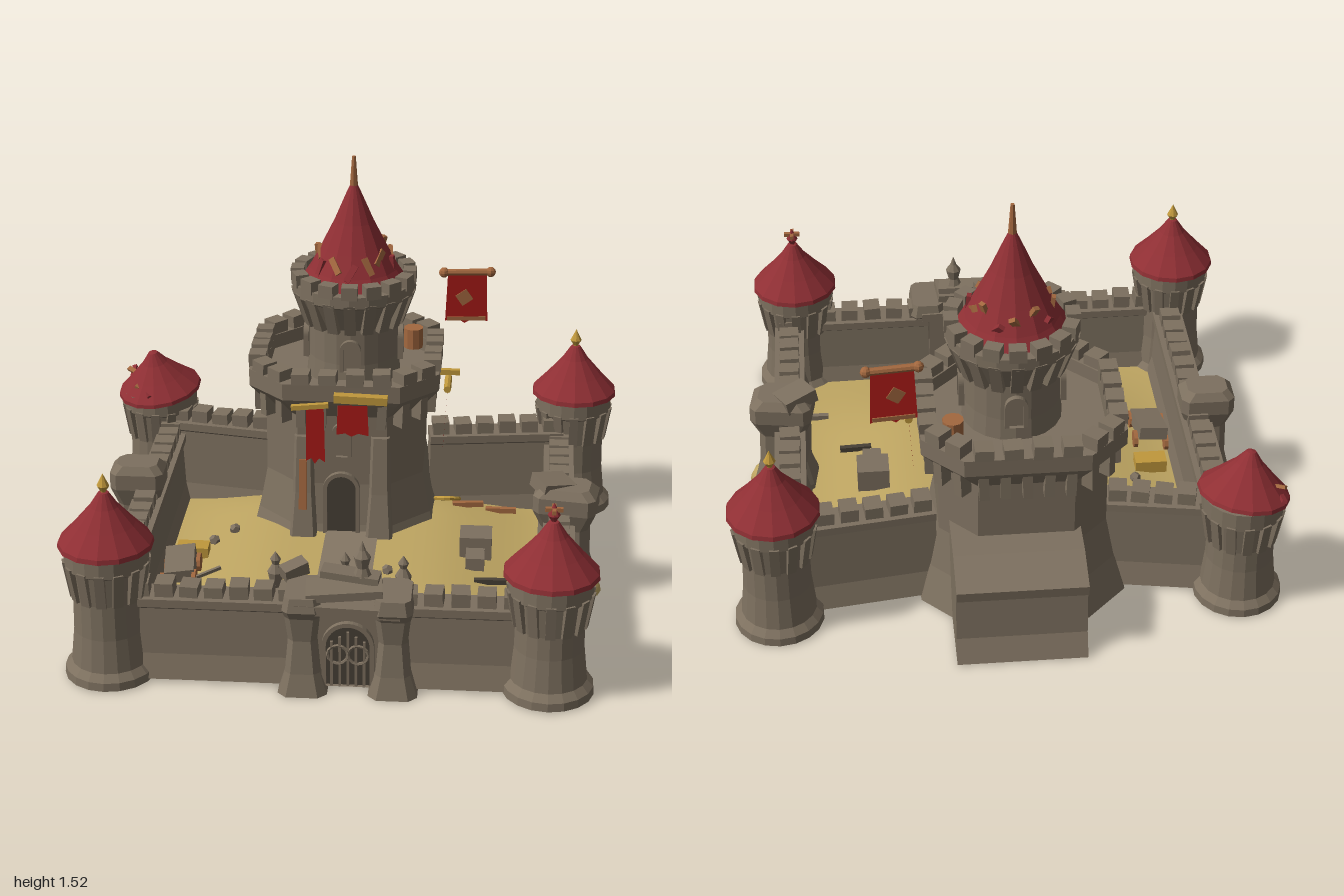
import * as THREE from 'three';
import { mergeGeometries } from 'three/addons/utils/BufferGeometryUtils.js';

const mat = (name, color, side = THREE.FrontSide, flatShading = true) => {
  const m = new THREE.MeshStandardMaterial({ color, flatShading, side });
  m.name = name;
  return m;
};

export function createModel() {
  const root = new THREE.Group();
  const stone = mat('stone', 0x7d705f), pale = mat('path stone', 0x857765, THREE.FrontSide, false);
  const dark = mat('dark opening', 0x484036), roof = mat('roof red', 0x8f2f34);
  const cloth = mat('banner red', 0xb01c18, THREE.DoubleSide), sand = mat('sand', 0xbfa662, THREE.FrontSide, false);
  const gold = mat('gold', 0xc0983c), wood = mat('wood', 0xa3683f);

  let seed = 7;
  const rnd = () => ((seed = (seed * 16807) % 2147483647) / 2147483647) - 0.5;
  const add = (name, geo, m, x = 0, y = 0, z = 0, rx = 0, ry = 0, rz = 0, parent = root) => {
    const o = new THREE.Mesh(geo, m);
    o.name = name;
    o.position.set(x, y, z);
    o.rotation.set(rx, ry, rz);
    parent.add(o);
    return o;
  };
  const box = (w, h, d) => new THREE.BoxGeometry(w, h, d);
  const lathe = (pts, n = 14) => new THREE.LatheGeometry(pts.map(p => new THREE.Vector2(...p)), n);
  const shape = pts => new THREE.Shape(pts.map(p => new THREE.Vector2(...p)));
  const extrude = (s, depth) => new THREE.ExtrudeGeometry(s, { depth, bevelEnabled: false, curveSegments: 8 });

  // Chamfered rectangle cross-section at height y
  const oct = (cx, cz, hx, hz, c, y) => [
    [hx, c - hz], [hx, hz - c], [hx - c, hz], [c - hx, hz],
    [-hx, hz - c], [-hx, c - hz], [c - hx, -hz], [hx - c, -hz]].map(([x, z]) => [cx + x, y, cz + z]);
  // Skin through a stack of cross-sections, closed at both ends
  const loft = rings => {
    const n = rings[0].length, pos = rings.flat(2), idx = [];
    for (const r of [rings[0], rings.at(-1)])
      pos.push(...[0, 1, 2].map(k => r.reduce((s, p) => s + p[k], 0) / n));
    const bottom = rings.length * n, last = bottom - n;
    for (let i = 0; i < n; i++) {
      const j = (i + 1) % n;
      for (let r = 0; r < last; r += n) idx.push(r + i, r + n + i, r + j, r + j, r + n + i, r + n + j);
      idx.push(bottom, i, j, bottom + 1, last + j, last + i);
    }
    const g = new THREE.BufferGeometry();
    g.setAttribute('position', new THREE.Float32BufferAttribute(pos, 3));
    g.setIndex(idx);
    g.computeVertexNormals();
    return g;
  };
  // Slightly uneven merlons along a line
  const merlonRow = (x1, z1, x2, z2, y, step, w, h, d) => {
    const len = Math.hypot(x2 - x1, z2 - z1), n = Math.max(1, Math.round(len / step)), out = [];
    for (let i = 0; i < n; i++) {
      const t = (i + 0.5) / n;
      out.push(box(w, h + rnd() * 0.02, d).rotateZ(rnd() * 0.12)
        .rotateY(-Math.atan2(z2 - z1, x2 - x1) + rnd() * 0.12)
        .translate(x1 + (x2 - x1) * t, y + h / 2 - 0.004, z1 + (z2 - z1) * t));
    }
    return out;
  };
  // Ring of blocks whose feet lean inwards by lean
  const ring = (n, r, y, w, h, d, lean = 0) => mergeGeometries(Array.from({ length: n }, (_, i) => {
    const g = box(w, h, d), p = g.attributes.position;
    for (let k = 0; k < p.count; k++) if (p.getY(k) < 0) p.setZ(k, p.getZ(k) - lean);
    return g.translate(0, y, r).rotateY((i / n) * Math.PI * 2);
  }));

  // Courtyard on a flat slab, rising gently from the walls to the middle
  const ease = t => THREE.MathUtils.smoothstep(t, 0, 1);
  const groundY = (x, z) => 0.036 + 0.075 * ease((0.76 - Math.abs(x)) / 0.5) * ease((0.78 - z) / 0.5) * ease((z + 0.75) / 0.4);
  const sheet = (w, d, cx, cz, n, lift, widthAt = () => 1) => {
    const g = new THREE.PlaneGeometry(w, d, n, n).rotateX(-Math.PI / 2), p = g.attributes.position;
    for (let i = 0; i < p.count; i++) {
      const z = p.getZ(i) + cz, x = p.getX(i) * widthAt(z) + cx;
      p.setXYZ(i, x, groundY(x, z) + lift, z);
    }
    g.computeVertexNormals();
    return g;
  };
  add('foundation', box(1.54, 0.03, 1.38), stone, 0, 0.017, 0.1);
  add('courtyard', sheet(1.5, 1.36, 0, 0.09, 24, 0), sand);
  add('path', sheet(0.19, 0.9, -0.015, 0.33, 16, 0.005, z => (z < 0.45 ? 1.05 : 1.05 - (z - 0.45) * 1.6)), pale);

  // Curtain walls
  const wall = (name, x1, z1, x2, z2, h) => {
    const s = shape([[-0.08, 0.012], [0.08, 0.012], [0.055, 0.1], [0.045, h - 0.04], [0.058, h - 0.03],
      [0.058, h], [-0.058, h], [-0.058, h - 0.03], [-0.045, h - 0.04], [-0.055, 0.1]]);
    add(name, extrude(s, Math.hypot(x2 - x1, z2 - z1)), stone, x1, 0, z1, 0, Math.atan2(x2 - x1, z2 - z1));
    add(name + 'Merlons', mergeGeometries(merlonRow(x1, z1, x2, z2, h, 0.085, 0.064, 0.05, 0.075)), stone);
  };
  wall('leftSideWall', 0.77, -0.6, 0.76, 0.75, 0.31);
  wall('rightSideWall', -0.77, -0.6, -0.77, 0.75, 0.31);
  wall('frontWallA', -0.72, 0.78, -0.12, 0.78, 0.31);
  wall('frontWallB', 0.2, 0.78, 0.65, 0.78, 0.31);
  wall('backWallA', -0.77, -0.6, -0.36, -0.53, 0.36);
  wall('backWallB', 0.26, -0.53, 0.78, -0.6, 0.36);

  // Corner towers
  const tower = (x, z, y, tilt, tipMat, roofHeight = 1) => {
    const g = new THREE.Group();
    g.name = 'cornerTower';
    g.position.set(x, 0, z);
    root.add(g);
    add('towerBody', lathe([[0, 0.005], [0.16, 0.005], [0.158, 0.035], [0.135, 0.06], [0.122, 0.18], [0.12, y - 0.19],
      [0.132, y - 0.08], [0.146, y - 0.07], [0.146, y], [0, y]], 18), stone, 0, 0, 0, 0, 0, 0, g);
    add('corbels', ring(14, 0.137, y - 0.125, 0.034, 0.13, 0.03, 0.022), stone, 0, 0, 0, 0, 0, 0, g);
    add('towerRoof', lathe([[0, -0.005], [0.166, -0.005], [0.163, 0.012], [0.105, 0.075], [0.05, 0.14], [0.018, 0.19], [0, 0.195]], 14)
      .scale(1, roofHeight, 1), roof, 0, y, 0, tilt, 0, tilt, g);
    if (!tipMat) return g;
    add('finial', lathe([[0.008, 0], [0.01, 0.02], [0.022, 0.04], [0.012, 0.06], [0, 0.085]], 8), tipMat, 0, y + 0.175, 0, 0, 0, 0, g);
    return g;
  };
  tower(-0.79, 0.79, 0.5, 0, gold);
  const crossTower = tower(0.73, 0.81, 0.455, 0, roof);
  for (const a of [0, Math.PI / 2]) add('finialArm', box(0.06, 0.014, 0.014), wood, 0, 0.69, 0, 0, a, 0, crossTower);
  tower(0.825, -0.68, 0.49, 0, gold);
  const broken = tower(-0.83, -0.67, 0.455, 0.13, null, 0.85);
  for (let i = 0; i < 5; i++)
    add('brokenRafter', box(0.018, 0.012, 0.09), i % 2 ? wood : roof, -0.12 + i * 0.02, 0.48 + (i % 2) * 0.02, -0.08 + i * 0.045, 0.3, i * 0.9, 0.3, broken);

  // Keep: flared body, corbelled parapet and sunken wall walk
  const K = (hx, hz, c, y) => oct(-0.055, -0.435, hx, hz, c, y);
  add('keepBody', loft([K(0.37, 0.35, 0.15, 0.005), K(0.33, 0.31, 0.14, 0.14), K(0.3, 0.285, 0.13, 0.3), K(0.3, 0.285, 0.13, 0.58),
    K(0.345, 0.325, 0.14, 0.64), K(0.36, 0.335, 0.14, 0.66), K(0.36, 0.335, 0.14, 0.725), K(0.3, 0.275, 0.12, 0.725), K(0.3, 0.275, 0.12, 0.67)]), stone);
  const merlons = [], corbels = [], line = K(0.332, 0.307, 0.13, 0), rim = K(0.32, 0.3, 0.13, 0);
  for (let i = 0; i < 8; i++) {
    const [a, b] = [line[i], line[(i + 1) % 8]], [c, d] = [rim[i], rim[(i + 1) % 8]];
    merlons.push(...merlonRow(a[0], a[2], b[0], b[2], 0.725, 0.09, 0.066, 0.05, 0.065));
    corbels.push(...merlonRow(c[0], c[2], d[0], d[2], 0.55, 0.075, 0.035, 0.1, 0.05));
  }
  add('keepMerlons', mergeGeometries(merlons), stone);
  add('keepCorbels', mergeGeometries(corbels), stone);
  for (const x of [-0.2, 0.09])
    add('keepButtress', loft([oct(x, -0.13, 0.055, 0.08, 0.01, 0.04), oct(x, -0.15, 0.04, 0.05, 0.01, 0.28), oct(x, -0.16, 0.035, 0.03, 0.01, 0.5)]), stone);
  add('hangingStrip', box(0.03, 0.2, 0.008), wood, -0.2, 0.32, -0.09, -0.12);

  // Rear platform with sloping top
  add('rearPlatform', extrude(shape([[-0.6, 0.005], [-0.99, 0.005], [-0.95, 0.09], [-0.935, 0.25], [-0.965, 0.27],
    [-0.97, 0.31], [-0.82, 0.355], [-0.6, 0.36]]), 0.46).rotateY(-Math.PI / 2), stone, 0.21);

  // Upper tower with crown and spire
  const top = new THREE.Group();
  top.name = 'upperTower';
  top.position.set(-0.03, 0, -0.41);
  root.add(top);
  const T = (n, g, m, ...r) => add(n, g, m, ...Object.assign([0, 0, 0, 0, 0, 0], r), top);
  T('upperBody', lathe([[0, 0.6], [0.185, 0.6], [0.172, 0.75], [0.17, 0.89], [0.2, 0.95], [0.22, 0.99], [0.235, 1], [0.235, 1.045], [0, 1.045]], 20), stone);
  T('upperCorbels', ring(18, 0.217, 0.945, 0.042, 0.13, 0.04, 0.045), stone);
  T('upperMerlons', ring(16, 0.212, 1.06, 0.06, 0.05, 0.05), stone);
  T('spireRoof', lathe([[0, 1.04], [0.2, 1.04], [0.167, 1.09], [0.125, 1.17], [0.075, 1.27], [0.03, 1.375], [0.014, 1.41], [0, 1.41]], 14), roof);
  T('spireTip', new THREE.CylinderGeometry(0.007, 0.018, 0.15, 8), wood, 0, 1.445, 0);
  for (let i = 0; i < 14; i++) {
    const a = i * 0.45, r = 0.152 - (i % 3) * 0.012;
    T('roofPlank', box(0.024, 0.07, 0.016), i % 3 ? wood : roof, Math.sin(a) * r, 1.11 + (i % 3) * 0.02, Math.cos(a) * r, -0.5, a, (i % 2 ? 0.5 : -0.5));
  }

  // Arched openings
  const arch = (w, h) => {
    const s = new THREE.Shape();
    s.moveTo(-w / 2, 0);
    s.lineTo(w / 2, 0);
    s.lineTo(w / 2, h - w / 2);
    s.absarc(0, h - w / 2, w / 2, 0, Math.PI, false);
    return s;
  };
  const opening = (name, w, h, x, y, z, ry, m) => {
    const outer = arch(w + 0.03, h + 0.015);
    outer.holes.push(arch(w, h));
    add(name + 'Frame', extrude(outer, 0.02), stone, x, y, z, 0, ry);
    add(name, extrude(arch(w, h), 0.006), m, x, y, z, 0, ry);
  };
  for (let i = 0; i < 4; i++) {
    const a = i * Math.PI / 2;
    opening('towerWindow', 0.05, 0.11, -0.03 + Math.sin(a) * 0.17, 0.73, -0.41 + Math.cos(a) * 0.17, a, stone);
  }
  opening('keepDoor', 0.11, 0.24, -0.055, 0.11, -0.122, 0, dark);
  opening('keepWindow', 0.045, 0.12, -0.055, 0.42, -0.15, 0, stone);

  // Gatehouse: solid block, flared piers, barred gate and collapsed roof slabs
  add('gateBlock', box(0.3, 0.32, 0.13), stone, 0.045, 0.172, 0.79);
  for (const x of [-0.11, 0.2])
    add('gatePier', loft([oct(x, 0.82, 0.085, 0.11, 0.03, 0), oct(x, 0.82, 0.06, 0.09, 0.02, 0.08), oct(x, 0.82, 0.05, 0.075, 0.02, 0.2),
      oct(x, 0.82, 0.06, 0.085, 0.02, 0.29), oct(x, 0.82, 0.068, 0.1, 0.02, 0.32), oct(x, 0.82, 0.06, 0.09, 0.02, 0.37)]), stone);
  opening('gate', 0.15, 0.23, 0.045, 0.02, 0.856, 0, dark);
  for (let i = -2; i <= 2; i++) add('gateBar', box(0.009, 0.21 - Math.abs(i) * 0.018, 0.01), stone, 0.045 + i * 0.028, 0.122 - Math.abs(i) * 0.009, 0.867);
  for (const s of [-1, 1]) add('gateScroll', new THREE.TorusGeometry(0.035, 0.006, 5, 12), stone, 0.045 + s * 0.035, 0.14, 0.868);
  opening('innerGate', 0.13, 0.2, 0.045, 0.04, 0.724, Math.PI, dark);
  add('gateLintel', box(0.36, 0.035, 0.2), stone, 0.045, 0.325, 0.815, 0, 0, -0.03);
  add('gateSlab', box(0.26, 0.03, 0.13), stone, 0.03, 0.375, 0.83, 0, 0.08, 0.06);
  add('gateSlab', box(0.2, 0.025, 0.07), stone, 0.05, 0.415, 0.8, 0, -0.1, -0.08);
  add('fallenBlock', box(0.09, 0.05, 0.05), stone, -0.15, 0.39, 0.73, 0.2, 0.6, 0.1);
  add('gateFigure', lathe([[0, 0], [0.032, 0], [0.02, 0.03], [0.03, 0.07], [0.012, 0.095], [0, 0.13]], 8), stone, 0.09, 0.42, 0.81);

  // Mid-wall turrets
  const turret = (name, x, z, hx, hz, tilt) => {
    const o = (k, y, c = 0.025) => oct(0, 0, hx * k, hz * k, c, y);
    add(name, loft([o(1.05, 0.005), o(1, 0.06), o(0.78, 0.15), o(0.75, 0.28), o(1, 0.35), o(1, 0.41), o(0.75, 0.44)]), stone, x, 0, z, 0, tilt, 0);
  };
  turret('rightTurret', -0.81, 0, 0.1, 0.075, 0);
  turret('leftTurret', 0.79, 0.085, 0.115, 0.085, -0.15);
  add('turretCapstone', box(0.13, 0.05, 0.11), stone, 0.74, 0.43, 0.07, 0.1, 0.5, -0.2);
  add('sandHeap', new THREE.SphereGeometry(0.07, 10, 5, 0, Math.PI * 2, 0, Math.PI / 2), sand, 0.86, 0.02, 0.11);
  for (const [z, y] of [[0.63, 0.18], [0.26, 0.17]]) add('wallPatch', box(0.012, 0.09, 0.07), stone, 0.815, y, z, 0.2, 0, 0.06);
  add('patchPlank', box(0.03, 0.02, 0.06), gold, 0.825, 0.13, 0.27, 0.2);

  // Torn banners on poles
  const banner = (x, y, z, w, h, ry, poleMat) => {
    const g = new THREE.Group();
    g.name = 'banner';
    g.position.set(x, y, z);
    g.rotation.y = ry;
    root.add(g);
    const s = shape([[-w / 2, 0], [-w * 0.55, -h * 0.95], [-w * 0.25, -h * 0.9], [-w * 0.05, -h], [w * 0.2, -h * 0.9], [w * 0.55, -h * 0.97], [w / 2, 0]]);
    add('bannerCloth', new THREE.ShapeGeometry(s), cloth, 0, 0, 0, 0.06, 0, 0, g);
    if (poleMat) add('bannerPole', new THREE.CylinderGeometry(0.014, 0.014, w + 0.05, 8), poleMat, 0, 0.005, 0, 0, 0, Math.PI / 2, g);
    return g;
  };
  const flag = banner(0.395, 1, -0.6, 0.15, 0.21, 0.1, wood);
  for (const s of [-1, 1]) add('poleKnob', new THREE.SphereGeometry(0.02, 8, 6), wood, s * 0.09, 0.005, 0, 0, 0, 0, flag);
  add('bannerEmblem', box(0.05, 0.05, 0.008), wood, -0.01, -0.1, -0.005, 0, 0, 0.6, flag);
  add('bannerHem', box(0.15, 0.016, 0.008), wood, 0, -0.19, -0.011, 0, 0, 0, flag);
  banner(0.335, 0.64, -0.345, 0.075, 0.26, Math.PI / 2, gold);
  banner(-0.15, 0.65, -0.07, 0.065, 0.24, 0, null);
  banner(-0.01, 0.66, -0.07, 0.11, 0.13, 0, null);
  add('bannerRail', box(0.2, 0.03, 0.035), gold, 0.02, 0.685, -0.075, 0, 0, -0.03);
  add('bannerRail', box(0.14, 0.018, 0.02), gold, -0.17, 0.65, -0.075, 0, 0, 0.1);
  add('sideRail', box(0.08, 0.02, 0.02), gold, 0.34, 0.7, -0.33);
  add('barrel', new THREE.CylinderGeometry(0.038, 0.038, 0.08, 10), wood, 0.19, 0.735, -0.59);

  // Courtyard props
  const prop = (name, g, m, x, z, lift, ...r) => add(name, g, m, x, groundY(x, z) + lift, z, ...r);
  for (const [x, z] of [[-0.25, 0.42], [0, 0.41], [0.21, 0.42]])
    prop('statue', lathe([[0, 0], [0.035, 0], [0.03, 0.05], [0.018, 0.06], [0.03, 0.12], [0.012, 0.15], [0.02, 0.17], [0, 0.2]], 8), stone, x, z, 0);
  prop('well', box(0.12, 0.09, 0.11), stone, 0.46, -0.03, 0.045);
  prop('wellStep', box(0.07, 0.05, 0.09), stone, 0.46, 0.07, 0.025);
  prop('cart', box(0.11, 0.05, 0.17), stone, -0.63, 0.2, 0.07, 0.15, 0.1, 0.1);
  for (const [dx, dz] of [[-0.06, 0.07], [0.06, 0.07], [-0.06, -0.06], [0.06, -0.06]])
    prop('cartWheel', new THREE.CylinderGeometry(0.035, 0.035, 0.015, 10), wood, -0.63 + dx, 0.2 + dz, 0.035, 0, 0, Math.PI / 2);
  prop('cartShaft', box(0.1, 0.012, 0.012), stone, -0.52, 0.25, 0.04, 0, 0.5, 0.2);
  prop('strawBale', box(0.12, 0.05, 0.07), gold, -0.61, 0.01, 0.025);
  prop('hoop', new THREE.TorusGeometry(0.045, 0.009, 6, 14), gold, 0.34, -0.35, 0.05, 1.1);
  for (const [x, z, ry, m] of [[0.52, 0.19, 0.05, dark], [0.42, -0.42, 0.1, wood], [0.55, -0.43, 0, wood], [0.68, 0.45, 0, stone]])
    prop('looseBeam', box(0.12, 0.02, 0.02), m, x, z, 0.012, 0, ry);
  for (const [x, z] of [[-0.54, -0.08], [-0.47, -0.15], [-0.2, 0.28], [0.14, 0.2]])
    prop('rubble', new THREE.DodecahedronGeometry(0.022), stone, x, z, 0.01, 0.4, x * 9);
  return root;
}
